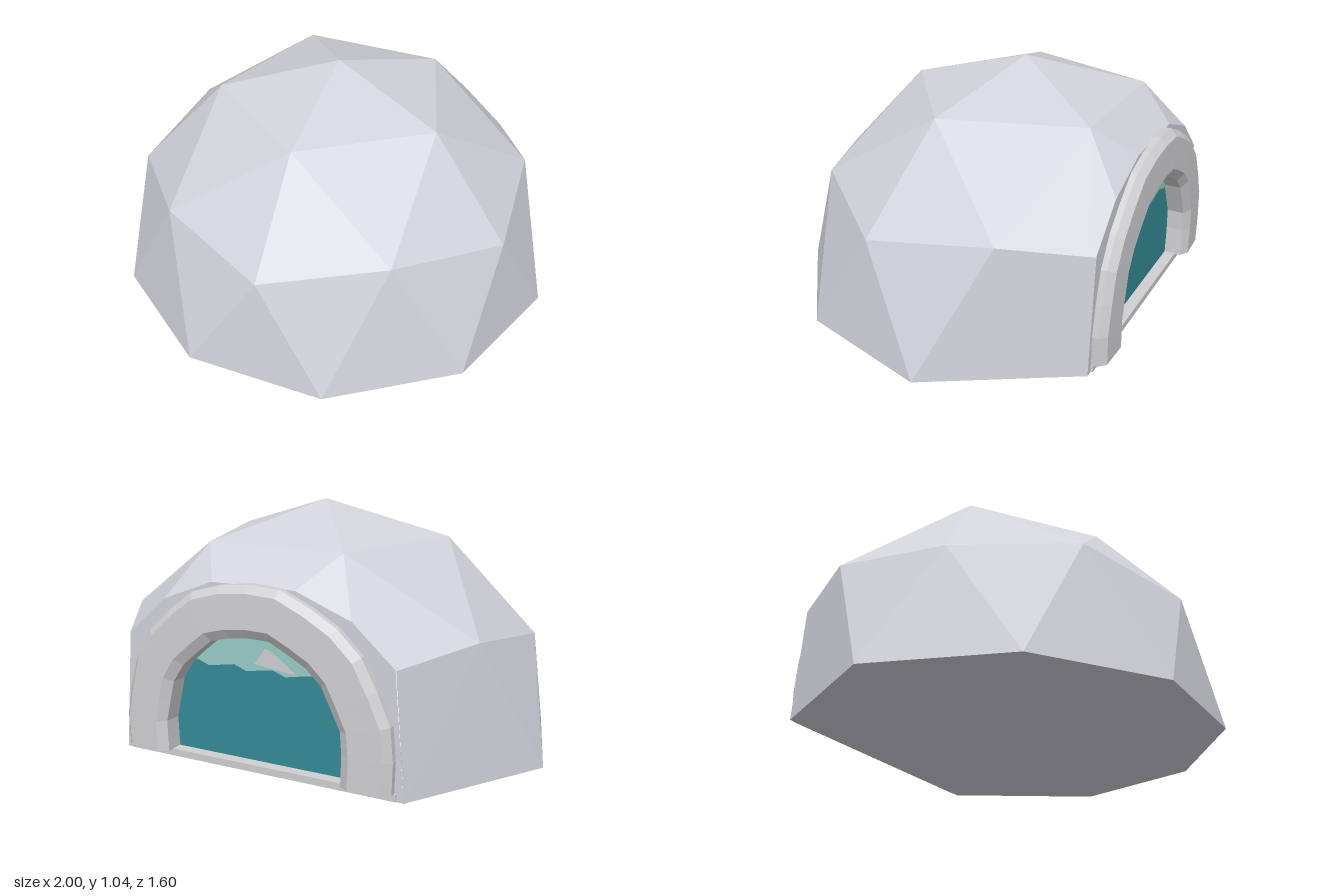
import * as THREE from 'three';

const CZ = -0.15;   // dome axis
const CUT = -0.74;  // flat rear wall
const ARCH_Y = 0.16; // centre height of the arch

function facets(tris) {
  const g = new THREE.BufferGeometry();
  g.setAttribute('position', new THREE.Float32BufferAttribute(tris.flat(2), 3));
  g.computeVertexNormals();
  return g;
}

// Keep the part of a polygon in front of the rear wall
function clip(poly) {
  const out = [];
  poly.forEach((p, i) => {
    const q = poly[(i + 1) % poly.length];
    if (p[2] >= CUT) out.push(p);
    if ((p[2] - CUT) * (q[2] - CUT) < 0) {
      const t = (CUT - p[2]) / (q[2] - p[2]);
      out.push(p.map((v, k) => v + (q[k] - v) * t));
    }
  });
  return out;
}

function fan(poly) {
  const tris = [];
  for (let i = 1; i < poly.length - 1; i++) tris.push([poly[0], poly[i], poly[i + 1]]);
  return tris;
}

// Geodesic shell: apex, upper ring, alternating middle ring, base ring
function domeGeometry() {
  const at = (r, y, deg) => {
    const a = THREE.MathUtils.degToRad(deg);
    return [r * Math.sin(a), y, CZ + r * Math.cos(a)];
  };
  const apex = [0, 1.04, CZ];
  const upper = a => at(0.526, 0.89, a);
  const midA = a => at(0.9, 0.485, a);
  const midB = a => at(0.851, 0.56, a);
  const base = a => {
    const p = at(1, 0, a);
    // the rear corners are drawn in beside the doorway
    if (Math.abs(p[2] + 0.738) < 0.01) return [Math.sign(p[0]) * 0.65, 0, CUT];
    return p;
  };
  const faces = [];
  for (let k = 0; k < 5; k++) {
    const a = k * 72, b = a + 36, c = a + 72;
    faces.push(
      [apex, upper(a), upper(c)],
      [upper(a), midA(a), midB(b)],
      [upper(a), midB(b), upper(c)],
      [upper(c), midB(b), midA(c)],
      [midA(a), base(a - 18), base(a + 18)],
      [midA(a), base(a + 18), midB(b)],
      [midB(b), base(a + 18), base(a + 54)],
      [midB(b), base(a + 54), midA(c)]
    );
  }
  const floor = [126, 90, 54, 18, -18, -54, -90, -126].map(base);
  return facets([...faces, floor].flatMap(f => fan(clip(f))));
}

// Arched outline with straight feet
function archPath(path, r, foot) {
  path.moveTo(-r, foot);
  path.lineTo(r, foot);
  path.lineTo(r, ARCH_Y);
  path.absarc(0, ARCH_Y, r, 0, Math.PI, false);
  path.lineTo(-r, foot);
  return path;
}

// Bevelled arch surround, swept from foot to foot with a slight hand-cut wobble
function frameGeometry() {
  const N = 14, R = 0.615, r = 0.405;
  const stations = [[0, 0.03]];
  for (let i = 0; i <= N; i++) stations.push([Math.PI * i / N, ARCH_Y]);
  stations.push([Math.PI, 0.03]);
  const loops = stations.map(([t, y], i) => {
    const w = 0.006 * Math.sin(i * 2.3), back = -0.695 + 0.012 * Math.sin(i * 1.7);
    const profile = [
      [R + w, back], [R + w, -0.765], [R - 0.03 + w, -0.795],
      [r + 0.04 + w, -0.8], [r + w, -0.775], [r + w, -0.68]
    ];
    return profile.map(([d, z]) => [d * Math.cos(t), y + d * Math.sin(t), z]);
  });
  const tris = [];
  for (let i = 0; i < loops.length - 1; i++) {
    const p = loops[i], q = loops[i + 1];
    for (let j = 0; j < p.length; j++) {
      const n = (j + 1) % p.length;
      tris.push([p[j], p[n], q[j]], [q[j], p[n], q[n]]);
    }
  }
  tris.push(...fan([...loops[0]].reverse()), ...fan(loops[loops.length - 1]));
  return facets(tris);
}

export function createModel() {
  const group = new THREE.Group();
  const material = (name, color) => {
    const m = new THREE.MeshStandardMaterial({ color, flatShading: true });
    m.name = name;
    return m;
  };
  const shell = material('pale grey shell', 0xd2d2dc);
  const stone = material('light grey surround', 0xd0d0d3);
  const teal = material('teal glass', 0x348c97);
  const paleTeal = material('pale teal glass', 0x9accca);
  const add = (name, geometry, mat) => {
    const mesh = new THREE.Mesh(geometry, mat);
    mesh.name = name;
    group.add(mesh);
    return mesh;
  };
  // Flat plate facing the rear
  const plate = (name, shape, z, mat) =>
    add(name, new THREE.ShapeGeometry(shape, 16).rotateY(Math.PI).translate(0, 0, z), mat);

  add('dome', domeGeometry(), shell);

  // Rear wall with the doorway cut out
  const half = [[0.65, 0], [0.61, 0.51], [0.43, 0.67], [0.19, 0.762]];
  const outline = [...half, ...half.map(([x, y]) => [-x, y]).reverse()];
  const wall = new THREE.Shape(outline.map(([x, y]) => new THREE.Vector2(x, y)));
  wall.holes.push(archPath(new THREE.Path(), 0.46, 0.03));
  plate('rearWall', wall, CUT, shell);

  add('doorFrame', frameGeometry(), stone);
  add('doorSill', new THREE.BoxGeometry(1.24, 0.03, 0.07).translate(0, 0.018, -0.715), stone);

  // Glass with a pale upper band and a small grey peak
  plate('doorGlass', archPath(new THREE.Shape(), 0.44, 0.02), -0.7, teal);
  const band = new THREE.Shape();
  const side = Math.asin(0.25 / 0.44);
  band.absarc(0, ARCH_Y, 0.44, side, Math.PI - side, false);
  for (let i = 1; i < 12; i++) {
    band.lineTo(-0.36 + i * 0.06, 0.415 + 0.012 * Math.sin(i * 2.1));
  }
  plate('upperGlass', band, -0.703, paleTeal);
  const peak = new THREE.Shape([[-0.02, 0.44], [0.17, 0.42], [0.12, 0.46], [0.06, 0.5], [0.03, 0.51]]
    .map(([x, y]) => new THREE.Vector2(x, y)));
  plate('glassPeak', peak, -0.706, stone);

  return group;
}
